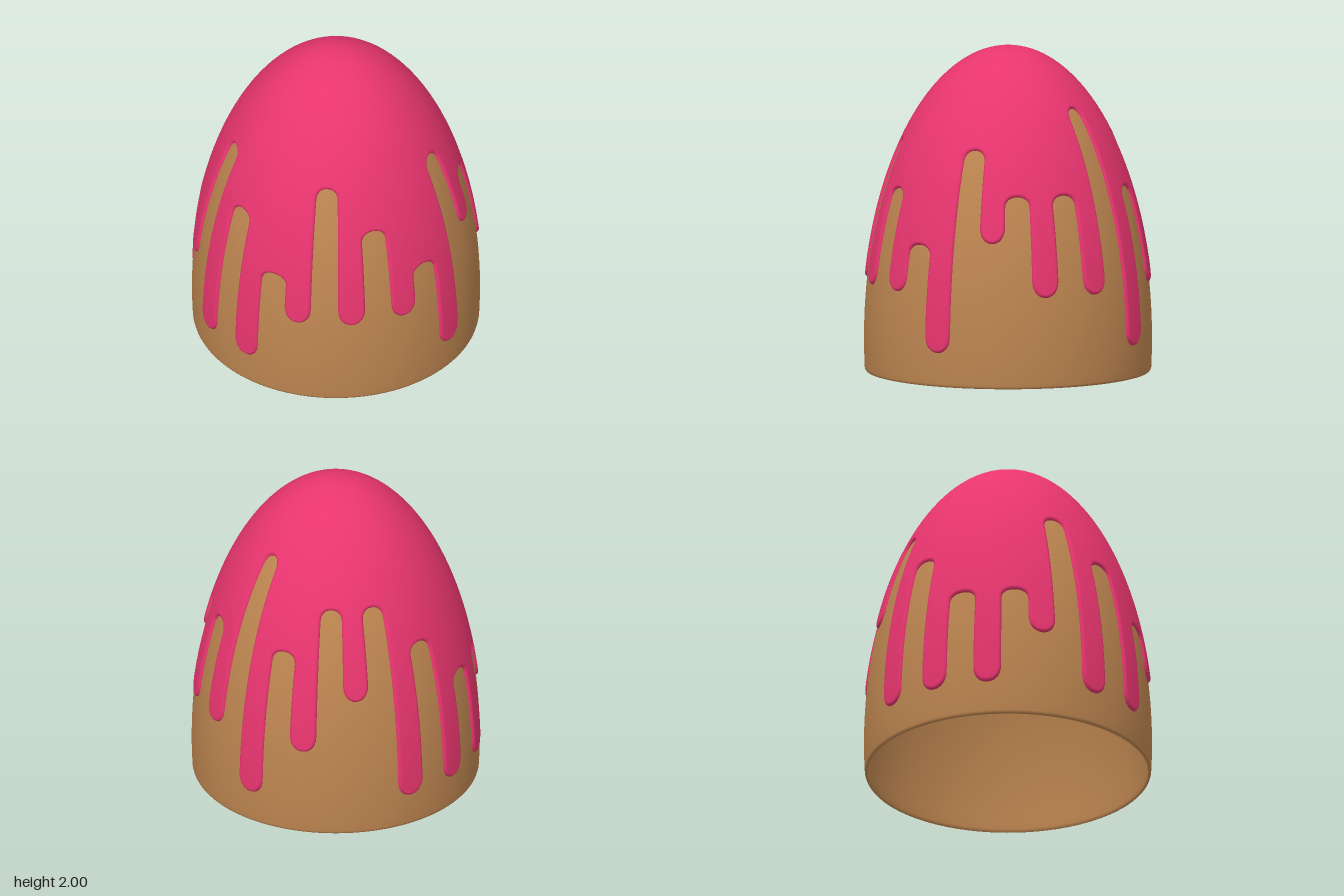
import * as THREE from 'three';

const BASE_Y = 0.2;                      // height of the widest ring
const R = 0.897, H = 1.8;                // half-axes of the icing's ellipsoid
const CORE_R = 0.88, CORE_H = 1.78;      // half-axes of the cake dome
const HALF = Math.PI / 32;               // half the angle of one drip or one gap
const RIM = 0.022, ROUND = 0.085;        // rolled edge width, rounding of the drip ends
const COLS = 12, ROWS = 44, RIM_ROWS = 5;

// lower ends of the drips, and tops of the gaps that follow them, counter-clockwise from the front
const DRIPS = [0.21, 0.89, 0.56, 0.56, 0.21, 0.56, 0.89, 0.21, 0.21, 0.21, 0.56, 0.21, 0.21, 0.56, 0.56, 0.56];
const GAPS = [1.44, 1.17, 1.17, 1.66, 1.17, 1.44, 1.44, 1.17, 0.86, 0.86, 1.44, 1.17, 0.86, 1.44, 1.17, 0.86];

const phiAt = (y) => Math.acos(Math.min(1, (y - BASE_Y) / H));

// point and normal on the icing; sector even = drip, odd = gap, u = -1..1 across it
function surface(sector, u, phi) {
  const r = R * Math.sin(phi);
  const inset = RIM / Math.max(r, 0.42);
  const half = sector % 2 ? HALF + inset : HALF - inset;
  const a = HALF + sector * 2 * HALF + u * half;
  const nr = Math.sin(phi) / R, ny = Math.cos(phi) / H;
  return {
    p: new THREE.Vector3(r * Math.sin(a), BASE_Y + H * Math.cos(phi), r * Math.cos(a)),
    n: new THREE.Vector3(nr * Math.sin(a), ny, nr * Math.cos(a)).normalize(),
  };
}

// height of the rounded lower edge of a sector
function edgeY(sector, u) {
  const k = sector >> 1;
  const curve = ROUND * (1 - Math.pow(Math.max(0, 1 - Math.pow(Math.abs(u), 2.2)), 1 / 2.2));
  return sector % 2 ? GAPS[k] + RIM - curve : DRIPS[k] + RIM + curve;
}

const across = (j) => (j === COLS ? 1 : -Math.cos((Math.PI * j) / COLS));

// mesh geometry from columns of {p, n}, each running downwards
function gridGeometry(columns) {
  const pos = [], nor = [], index = [];
  const rows = columns[0].length;
  columns.forEach((col, j) => col.forEach(({ p, n }, i) => {
    pos.push(p.x, p.y, p.z);
    nor.push(n.x, n.y, n.z);
    if (j + 1 < columns.length && i + 1 < rows) {
      const a = j * rows + i, d = a + rows;
      index.push(a, a + 1, d + 1, a, d + 1, d);
    }
  }));
  const g = new THREE.BufferGeometry();
  g.setAttribute('position', new THREE.Float32BufferAttribute(pos, 3));
  g.setAttribute('normal', new THREE.Float32BufferAttribute(nor, 3));
  g.setIndex(index);
  return g;
}

// icing skin: columns from the apex down to the dripping edge
function icingSkin() {
  const columns = [];
  for (let s = 0; s < 32; s++) {
    for (let j = 0; j <= COLS; j++) {
      const u = across(j), end = phiAt(edgeY(s, u)), col = [];
      for (let i = 0; i <= ROWS; i++) {
        col.push(surface(s, u, Math.min((i / ROWS) * Math.PI / 2, end)));
      }
      columns.push(col);
    }
  }
  return gridGeometry(columns);
}

// rolled rim: quarter-round strip that follows the whole dripping edge
function icingRim() {
  const line = [];
  for (let s = 0; s < 32; s++) {
    for (let j = 0; j <= COLS; j++) {
      const u = across(j);
      line.push(surface(s, u, phiAt(edgeY(s, u))));
    }
    // straight side between this sector and the next
    const from = phiAt(edgeY(s, 1)), to = phiAt(edgeY((s + 1) % 32, 1));
    for (let i = 1; i < 16; i++) line.push(surface(s, 1, from + ((to - from) * i) / 16));
  }
  const count = line.length, columns = [];
  for (let j = 0; j <= count; j++) {
    const { p, n } = line[j % count];
    const before = p.clone().sub(line[(j + count - 1) % count].p).normalize();
    const after = line[(j + 1) % count].p.clone().sub(p).normalize();
    const out = before.add(after).cross(n).normalize();
    const col = [];
    for (let i = 0; i <= RIM_ROWS; i++) {
      const t = (i / RIM_ROWS) * Math.PI / 2;
      col.push({
        p: p.clone().addScaledVector(out, RIM * Math.sin(t)).addScaledVector(n, -RIM * (1 - Math.cos(t))),
        n: n.clone().multiplyScalar(Math.cos(t)).addScaledVector(out, Math.sin(t)),
      });
    }
    columns.push(col);
  }
  return gridGeometry(columns);
}

// hollow cake dome: inner wall down, rounded foot, outer wall up
function cakeDome() {
  const wall = 0.02, pts = [];
  const arc = (r, h, y) => r * Math.sqrt(Math.max(0, 1 - ((y - BASE_Y) / h) ** 2));
  const N = 48, low = Math.PI / 2 + 0.102;
  for (let i = 0; i <= N; i++) {
    const t = (i / N) * low;
    pts.push(new THREE.Vector2((CORE_R - wall) * Math.sin(t), BASE_Y + (CORE_H - wall) * Math.cos(t)));
  }
  const foot = arc(CORE_R, CORE_H, 0);
  pts.push(new THREE.Vector2(foot - 0.015, 0), new THREE.Vector2(foot - 0.007, 0.002), new THREE.Vector2(foot - 0.002, 0.008));
  for (let i = N; i >= 0; i--) {
    const t = (i / N) * low;
    pts.push(new THREE.Vector2(CORE_R * Math.sin(t), BASE_Y + CORE_H * Math.cos(t)));
  }
  return new THREE.LatheGeometry(pts, 128);
}

export function createModel() {
  const group = new THREE.Group();
  group.name = 'icedDome';
  const cake = new THREE.MeshStandardMaterial({ color: 0xbd8550 });
  const icing = new THREE.MeshStandardMaterial({ color: 0xe8356f });
  const add = (name, geometry, material) => {
    const mesh = new THREE.Mesh(geometry, material);
    mesh.name = name;
    group.add(mesh);
  };
  add('cakeDome', cakeDome(), cake);
  add('icing', icingSkin(), icing);
  add('icingRim', icingRim(), icing);
  return group;
}
